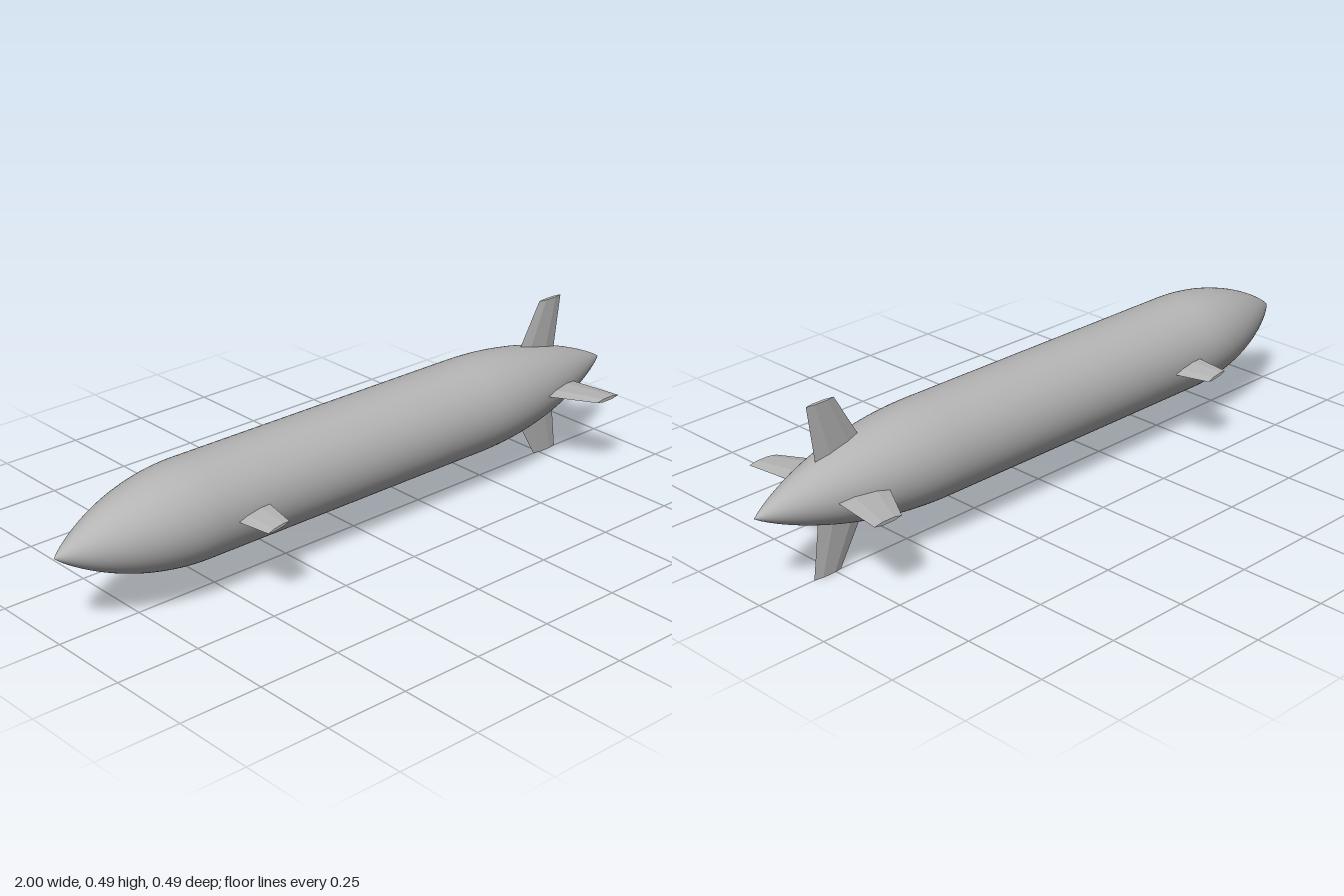
import * as THREE from 'three';

const AXIS_Y = 0.245;
const RADIUS = 0.142;

// Pointed hull: cylinder with a curved taper at each end
function hullGeometry() {
  const points = [];
  const steps = 28;
  const taper = (t) => RADIUS * Math.pow(Math.max(0, 1 - t * t), 0.9);
  for (let i = 0; i <= steps; i++) {
    const t = 1 - i / steps;
    points.push(new THREE.Vector2(taper(t), -0.57 - 0.43 * t));
  }
  for (let i = 0; i <= steps; i++) {
    const t = i / steps;
    points.push(new THREE.Vector2(taper(t), 0.42 + 0.58 * t));
  }
  return new THREE.LatheGeometry(points, 72).rotateZ(-Math.PI / 2);
}

// Fin along +y with a flat-sided, double-wedge section lofted from root to tip
function finGeometry(root, tip) {
  const section = ({ r, lead, trail, thick }) => {
    const bevel = (trail - lead) * 0.28;
    const h = thick / 2;
    return [
      [lead, 0], [lead + bevel, h], [trail - bevel, h],
      [trail, 0], [trail - bevel, -h], [lead + bevel, -h],
    ].map(([x, z]) => [x, r, z]);
  };
  const a = section(root);
  const b = section(tip);
  const position = [];
  const tri = (...corners) => corners.forEach((p) => position.push(...p));
  for (let i = 0; i < 6; i++) {
    const j = (i + 1) % 6;
    tri(a[i], a[j], b[j]);
    tri(a[i], b[j], b[i]);
  }
  for (let i = 1; i < 5; i++) {
    tri(b[0], b[i], b[i + 1]);
    tri(a[0], a[i + 1], a[i]);
  }
  const geometry = new THREE.BufferGeometry();
  geometry.setAttribute('position', new THREE.Float32BufferAttribute(position, 3));
  geometry.computeVertexNormals();
  return geometry;
}

export function createModel() {
  const model = new THREE.Group();
  model.name = 'finnedHull';
  const grey = new THREE.MeshStandardMaterial({ color: 0xb4b4b4 });
  grey.name = 'hullGrey';

  const add = (name, geometry, turn = 0) => {
    const mesh = new THREE.Mesh(geometry, grey);
    mesh.name = name;
    mesh.position.y = AXIS_Y;
    mesh.rotation.x = turn;
    model.add(mesh);
  };

  add('hull', hullGeometry());

  // Four swept tail fins in a cross
  const tailFin = finGeometry(
    { r: 0.06, lead: 0.622, trail: 0.796, thick: 0.018 },
    { r: 0.245, lead: 0.73, trail: 0.82, thick: 0.01 },
  );
  ['tailFinTop', 'tailFinFront', 'tailFinBottom', 'tailFinBack'].forEach((name, i) =>
    add(name, tailFin, (i * Math.PI) / 2));

  // Two small steering fins, canted in opposite senses
  const pivot = -0.49;
  const steeringFin = finGeometry(
    { r: 0.11, lead: -0.526 - pivot, trail: -0.41 - pivot, thick: 0.011 },
    { r: 0.245, lead: -0.51 - pivot, trail: -0.438 - pivot, thick: 0.008 },
  ).rotateY(THREE.MathUtils.degToRad(10)).translate(pivot, 0, 0);
  add('steeringFinFront', steeringFin, Math.PI / 2);
  add('steeringFinBack', steeringFin, -Math.PI / 2);

  return model;
}
